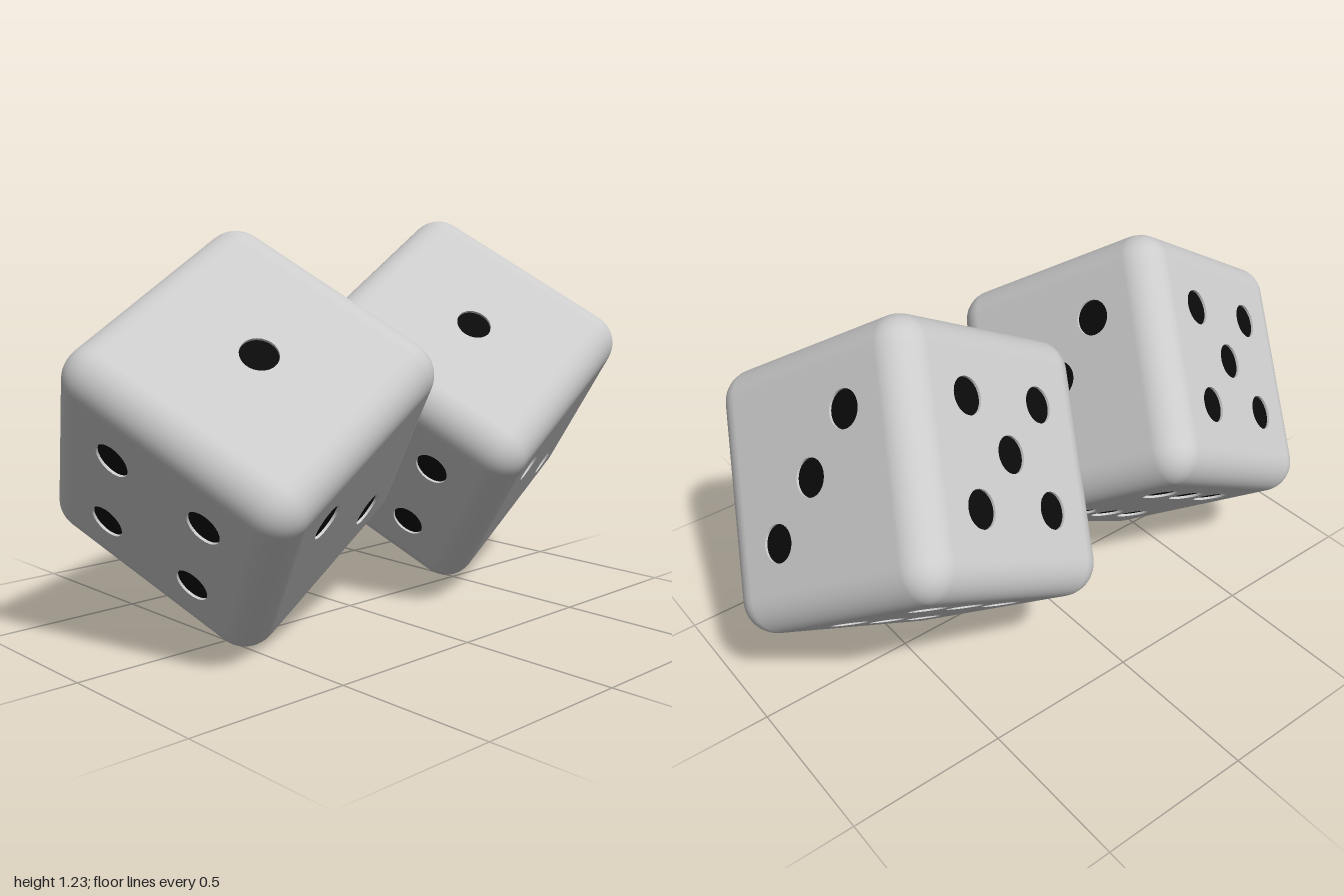
import * as THREE from 'three';
import { RoundedBoxGeometry } from 'three/addons/geometries/RoundedBoxGeometry.js';
import { mergeGeometries } from 'three/addons/utils/BufferGeometryUtils.js';

const HALF = 0.39;        // half the die's edge
const ROUND = 0.1;        // edge rounding
const PIP = 0.055;        // pip radius
const STEP = 0.155;       // pip grid spacing
const DEPTH = 0.008;      // pip recess

const X = new THREE.Vector3(1, 0, 0);
const Y = new THREE.Vector3(0, 1, 0);
const Z = new THREE.Vector3(0, 0, 1);
const corners = [[-1, -1], [-1, 1], [1, -1], [1, 1]];

// Each face: across and up axes, then pip places on a 3 x 3 grid
const faces = [
  [Y, Z, [[0, 0]]],
  [Z, X, [[-1, 1], [1, -1]]],
  [X, Y, [[1, -1], [0, 0], [-1, 1]]],
  [Y, X, corners],
  [X, Z, [...corners, [0, 0]]],
  [Z, Y, [...corners, [-1 + 1, -1], [0, 1]]],
];

// Rounded edges and corners only: the flat face centres are left out
function roundedShell() {
  const size = HALF * 2;
  const box = new RoundedBoxGeometry(size, size, size, 6, ROUND);
  const source = box.index ? box.toNonIndexed() : box;
  const p = source.attributes.position.array;
  const n = source.attributes.normal.array;
  const positions = [], normals = [];
  for (let i = 0; i < p.length; i += 9) {
    const flat = [0, 1, 2].some((a) =>
      [0, 3, 6].every((k) => Math.abs(p[i + k + a]) > HALF - 1e-5));
    if (flat) continue;
    for (let k = 0; k < 9; k++) {
      positions.push(p[i + k]);
      normals.push(n[i + k]);
    }
  }
  const shell = new THREE.BufferGeometry();
  shell.setAttribute('position', new THREE.Float32BufferAttribute(positions, 3));
  shell.setAttribute('normal', new THREE.Float32BufferAttribute(normals, 3));
  return shell;
}

function plain(geometry) {
  const result = geometry.toNonIndexed();
  result.deleteAttribute('uv');
  return result;
}

// Square panel with a round hole for every pip
function panel(places) {
  const s = HALF - ROUND;
  const shape = new THREE.Shape();
  shape.moveTo(-s, -s).lineTo(s, -s).lineTo(s, s).lineTo(-s, s).closePath();
  for (const [u, v] of places) {
    shape.holes.push(new THREE.Path().absarc(u * STEP, v * STEP, PIP, 0, Math.PI * 2, true));
  }
  return plain(new THREE.ShapeGeometry(shape, 20));
}

function createDie(name, bodyMaterial, pipMaterial) {
  const bodyParts = [roundedShell()];
  const pipParts = [];
  for (const [across, up, places] of faces) {
    const out = new THREE.Vector3().crossVectors(across, up);
    const place = new THREE.Matrix4().makeBasis(across, up, out)
      .setPosition(out.clone().multiplyScalar(HALF));
    bodyParts.push(panel(places).applyMatrix4(place));
    for (const [u, v] of places) {
      // Recess wall, facing inward
      const wall = new THREE.LatheGeometry(
        [new THREE.Vector2(PIP, 0), new THREE.Vector2(PIP, -DEPTH)], 40);
      wall.rotateX(Math.PI / 2).translate(u * STEP, v * STEP, 0);
      bodyParts.push(plain(wall).applyMatrix4(place));
      // Dark floor
      const floor = new THREE.CircleGeometry(PIP, 40).translate(u * STEP, v * STEP, -DEPTH);
      pipParts.push(plain(floor).applyMatrix4(place));
    }
  }
  const die = new THREE.Group();
  die.name = name;
  const body = new THREE.Mesh(mergeGeometries(bodyParts), bodyMaterial);
  body.name = 'dieBody';
  const pips = new THREE.Mesh(mergeGeometries(pipParts), pipMaterial);
  pips.name = 'pips';
  die.add(body, pips);
  return die;
}

export function createModel() {
  const bodyMaterial = new THREE.MeshStandardMaterial({ color: 0xcccccc });
  const pipMaterial = new THREE.MeshStandardMaterial({ color: 0x0a0a0a });

  // Shared tilt: directions of the one, two and three faces
  const one = new THREE.Vector3(-0.335, 0.69, 0.64).normalize();
  const two = new THREE.Vector3(0.38, -0.51, 0.77);
  const three = new THREE.Vector3().crossVectors(one, two).normalize();
  two.crossVectors(three, one);
  const tilt = new THREE.Matrix4().makeBasis(one, two, three);

  const model = new THREE.Group();
  model.name = 'pairOfDice';
  const spots = [['rightDie', -0.442, 0.6, 0.005], ['leftDie', 0.442, 0.64, -0.008]];
  for (const [name, x, y, z] of spots) {
    const die = createDie(name, bodyMaterial, pipMaterial);
    die.quaternion.setFromRotationMatrix(tilt);
    die.position.set(x, y, z);
    model.add(die);
  }
  return model;
}
